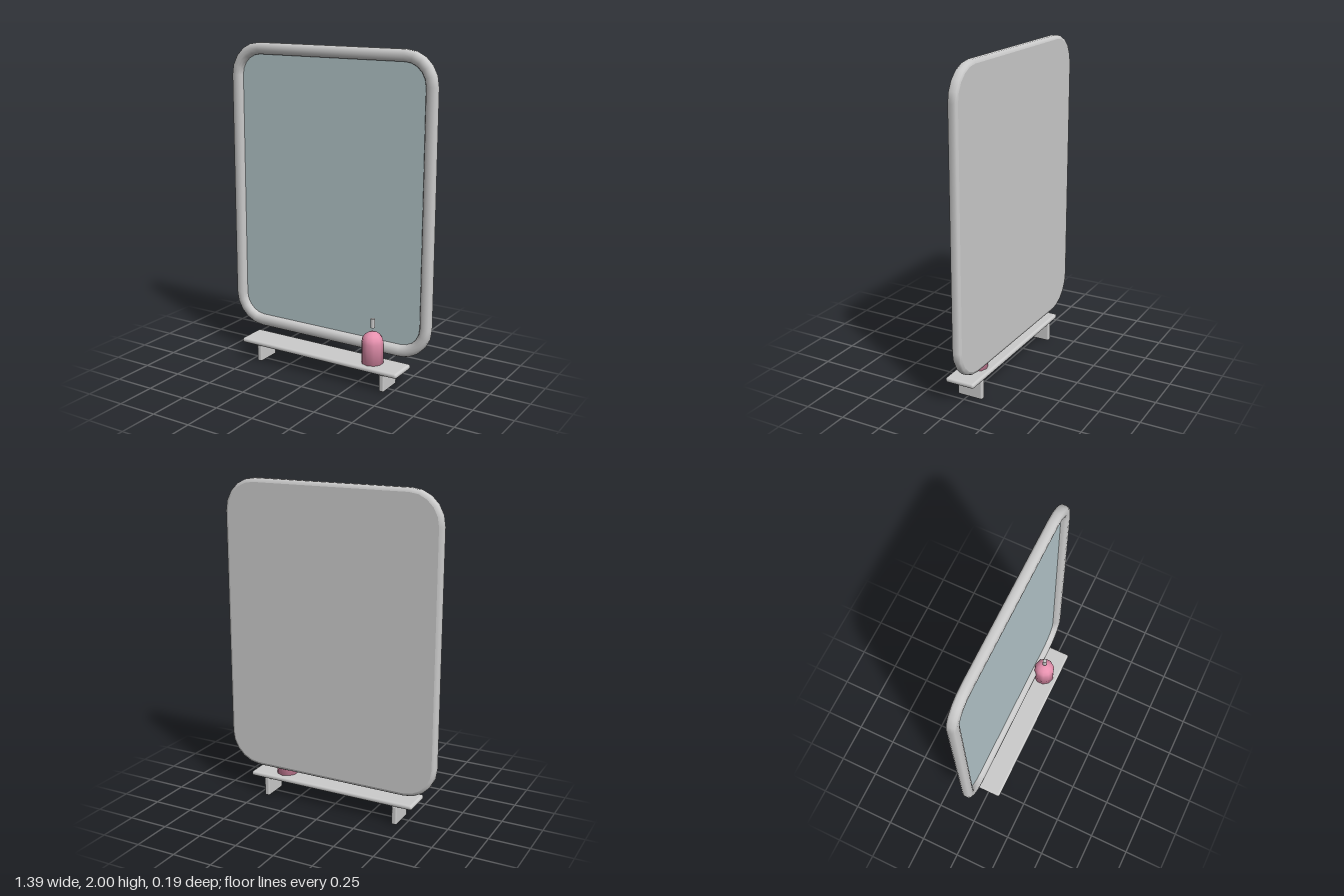
import * as THREE from 'three';
import { RoundedBoxGeometry } from 'three/addons/geometries/RoundedBoxGeometry.js';

const grey = new THREE.MeshStandardMaterial({ color: 0xcccccc });
const glassBlue = new THREE.MeshStandardMaterial({ color: 0xb4c6ca });
const pink = new THREE.MeshStandardMaterial({ color: 0xe892b0 });

const HALF_W = 0.695, HALF_H = 0.902, RADIUS = 0.2, CENTRE_Y = 1.098;

// Counter-clockwise rounded rectangle, drawn in by an inset
function outline(inset, steps = 5) {
  const points = [];
  const r = RADIUS - inset;
  const corners = [[1, 1], [-1, 1], [-1, -1], [1, -1]];
  corners.forEach(([sx, sy], c) => {
    for (let i = 0; i <= steps; i++) {
      const a = (c + i / steps) * Math.PI / 2;
      points.push(new THREE.Vector2(
        sx * (HALF_W - RADIUS) + r * Math.cos(a),
        sy * (HALF_H - RADIUS) + r * Math.sin(a)));
    }
  });
  return points;
}

// Sweep a profile of [inset, z] pairs around the rounded rectangle
function sweepFrame(profile) {
  const positions = [], index = [];
  const n = outline(0).length;
  profile.forEach(([inset, z], j) => {
    outline(inset).forEach((p, i) => {
      positions.push(p.x, p.y, z);
      if (j === profile.length - 1) return;
      const a = j * n + i, b = j * n + (i + 1) % n;
      index.push(a, b, a + n, b, b + n, a + n);
    });
  });
  const geometry = new THREE.BufferGeometry();
  geometry.setAttribute('position', new THREE.Float32BufferAttribute(positions, 3));
  geometry.setIndex(index);
  geometry.computeVertexNormals();
  return geometry;
}

function addPart(parent, name, geometry, material, x = 0, y = 0, z = 0) {
  const mesh = new THREE.Mesh(geometry, material);
  mesh.name = name;
  mesh.position.set(x, y, z);
  parent.add(mesh);
  return mesh;
}

export function createModel() {
  const model = new THREE.Group();
  model.name = 'mirrorWithShelf';

  // Mirror: rounded frame, glass and closed back
  const mirror = new THREE.Group();
  mirror.name = 'mirror';
  mirror.position.y = CENTRE_Y;
  model.add(mirror);
  addPart(mirror, 'mirrorFrame', sweepFrame([
    [0.022, -0.097], [0.007, -0.092], [0, -0.08], [0, -0.055], [0.008, -0.043],
    [0.024, -0.036], [0.044, -0.036], [0.06, -0.043], [0.069, -0.056], [0.072, -0.08],
  ]), grey);
  addPart(mirror, 'mirrorGlass',
    new THREE.ShapeGeometry(new THREE.Shape(outline(0.07))), glassBlue, 0, 0, -0.07);
  const back = addPart(mirror, 'mirrorBack',
    new THREE.ShapeGeometry(new THREE.Shape(outline(0.022))), grey, 0, 0, -0.097);
  back.rotation.y = Math.PI;

  // Shelf on two brackets
  addPart(model, 'shelf', new RoundedBoxGeometry(1.11, 0.032, 0.19, 2, 0.015), grey, 0, 0.13, -0.002);
  for (const side of [-1, 1]) {
    addPart(model, side > 0 ? 'leftBracket' : 'rightBracket',
      new RoundedBoxGeometry(0.034, 0.12, 0.162, 2, 0.01), grey, side * 0.442, 0.06, -0.016);
  }

  // Domed bottle with a small pump stem above it
  const profile = [new THREE.Vector2(0, 0), new THREE.Vector2(0.067, 0)];
  for (let i = 0; i <= 4; i++) {
    const a = i / 4 * Math.PI / 2;
    profile.push(new THREE.Vector2(i === 4 ? 0 : 0.067 * Math.cos(a), 0.13 + 0.067 * Math.sin(a)));
  }
  addPart(model, 'bottle', new THREE.LatheGeometry(profile, 10), pink, 0.345, 0.144, 0);
  addPart(model, 'pumpStem', new THREE.CylinderGeometry(0.014, 0.014, 0.056, 8), grey, 0.345, 0.393, 0);

  return model;
}
